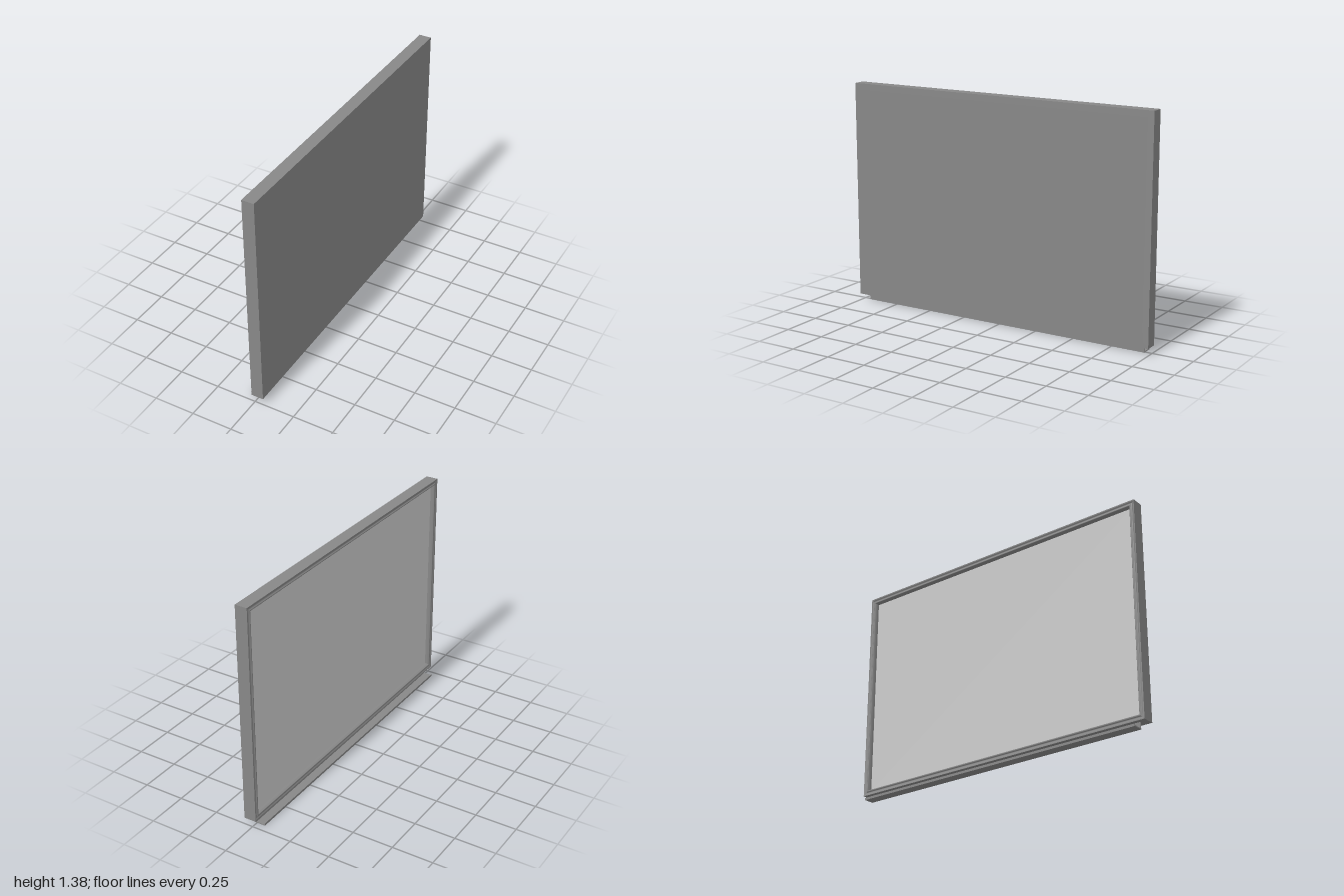
import * as THREE from 'three';
import { toCreasedNormals } from 'three/addons/utils/BufferGeometryUtils.js';

const boardMaterial = new THREE.MeshStandardMaterial({ color: 0xcccccc });
const frameMaterial = new THREE.MeshStandardMaterial({ color: 0x888888 });
const BOTTOM = 0.041, TOP = 1.375, HALF = 1;
const BACK = 0.053, FRONT = -0.022, RIM = 0.037, FACE = 0.003;

// Box given by its limits on each axis
function box(name, material, x0, x1, y0, y1, z0, z1) {
  const mesh = new THREE.Mesh(new THREE.BoxGeometry(x1 - x0, y1 - y0, z1 - z0), material);
  mesh.position.set((x0 + x1) / 2, (y0 + y1) / 2, (z0 + z1) / 2);
  mesh.name = name;
  return mesh;
}

// Sweep an [inset, x] profile round the rectangle with mitred corners
function frameGeometry(profile) {
  const corner = ([t, x], i) => [
    [x, BOTTOM + t, -HALF + t], [x, BOTTOM + t, HALF - t],
    [x, TOP - t, HALF - t], [x, TOP - t, -HALF + t],
  ][i % 4];
  const positions = [];
  for (let side = 0; side < 4; side++) {
    for (let i = 0; i < profile.length - 1; i++) {
      const a = corner(profile[i], side), b = corner(profile[i], side + 1);
      const c = corner(profile[i + 1], side + 1), d = corner(profile[i + 1], side);
      positions.push(...a, ...b, ...d, ...b, ...c, ...d);
    }
  }
  const geometry = new THREE.BufferGeometry();
  geometry.setAttribute('position', new THREE.Float32BufferAttribute(positions, 3));
  return toCreasedNormals(geometry, 0.7);
}

export function createModel() {
  const group = new THREE.Group();

  // Frame: flat back, outer lip, soft groove, then a round drop to the board
  const profile = [[RIM, BACK], [0, BACK], [0, FRONT]];
  for (let i = 0; i <= 14; i++) {
    const u = i / 14;
    profile.push([0.005 + 0.023 * u, FRONT + 0.003 * (1 - Math.cos(2 * Math.PI * u))]);
  }
  for (let i = 1; i <= 10; i++) {
    const a = (i / 10) * Math.PI / 2;
    profile.push([0.028 + (RIM - 0.028) * Math.sin(a), FACE + (FRONT - FACE) * Math.cos(a)]);
  }
  const frame = new THREE.Mesh(frameGeometry(profile), frameMaterial);
  frame.name = 'frame';
  group.add(frame);

  // Light writing surface in front of a darker backing, both inside the frame
  const inner = [BOTTOM + RIM, TOP - RIM, -HALF + RIM, HALF - RIM];
  group.add(
    box('writingSurface', boardMaterial, FACE, 0.015, ...inner),
    box('backing', frameMaterial, 0.015, BACK, ...inner),
  );

  // Tray hung below the frame
  const tray = new THREE.Group();
  tray.name = 'tray';
  tray.add(
    box('trayHanger', frameMaterial, 0.003, 0.01, 0.006, BOTTOM + 0.004, -0.957, 0.957),
    box('trayShelf', frameMaterial, -0.053, 0.01, 0, 0.006, -0.957, 0.957),
    box('trayLip', frameMaterial, -0.053, -0.05, 0.006, 0.014, -0.957, 0.957),
  );
  group.add(tray);
  return group;
}
